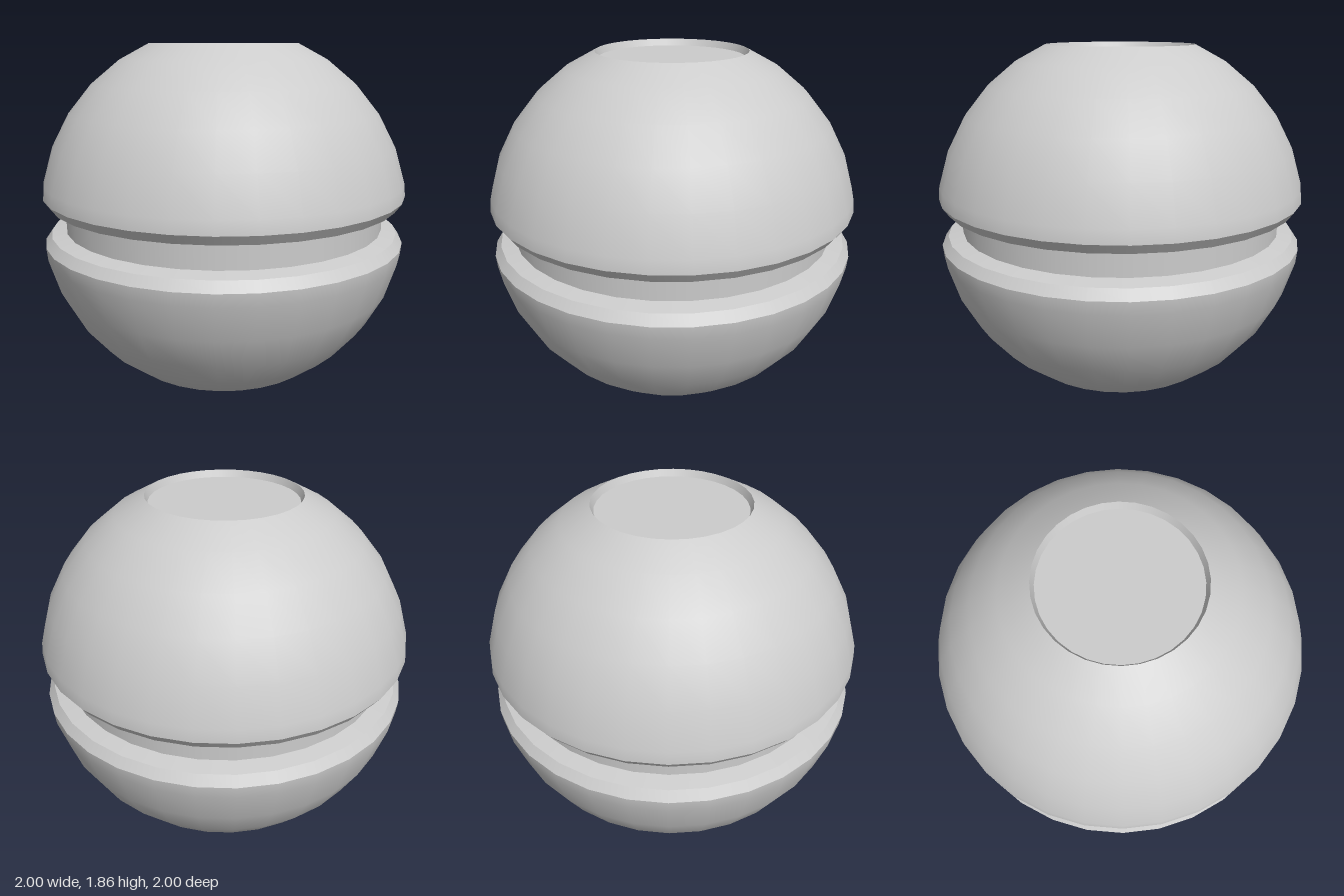
import * as THREE from 'three';

const SIDES = 32;
const MID = 0.928; // height of the plane of symmetry
const R = 1.013; // sphere radius before the cuts

const material = new THREE.MeshStandardMaterial({ color: 0xcccccc });

// Revolves a profile of [radius, height] points, listed bottom to top on outer walls.
function turned(name, profile) {
  const points = profile.map(([r, y]) => new THREE.Vector2(r, y));
  const mesh = new THREE.Mesh(new THREE.LatheGeometry(points, SIDES), material);
  mesh.name = name;
  return mesh;
}

// One half of the ball, with y = 0 on the plane of symmetry.
function half(name) {
  const group = new THREE.Group();
  group.name = name;

  // Dome: rings every 11.25 degrees, cut at the belt and at the pole
  const dome = [[1, 0.13]];
  for (let i = 1; i <= 5; i++) {
    const a = (i * Math.PI) / 16;
    dome.push([R * Math.cos(a), R * Math.sin(a)]);
  }
  dome.push([0.403, MID]);

  group.add(
    turned('dome', dome),
    turned('beltChamfer', [[0.965, 0.08], [1, 0.13]]),
    turned('grooveLedge', [[0.88, 0.062], [0.965, 0.08]]),
    turned('recessWall', [[0.403, MID], [0.387, MID - 0.036]]),
    turned('recessFloor', [[0.387, MID - 0.036], [0, MID - 0.036]])
  );
  return group;
}

export function createModel() {
  const model = new THREE.Group();
  model.name = 'splitBall';

  const upper = half('upperHalf');
  upper.position.y = MID;

  const lower = half('lowerHalf');
  lower.position.y = MID;
  lower.rotation.x = Math.PI;

  // Recessed band joining the halves
  const band = turned('centreBand', [[0.885, -0.063], [0.885, 0.063]]);
  band.position.y = MID;

  model.add(upper, lower, band);
  return model;
}
